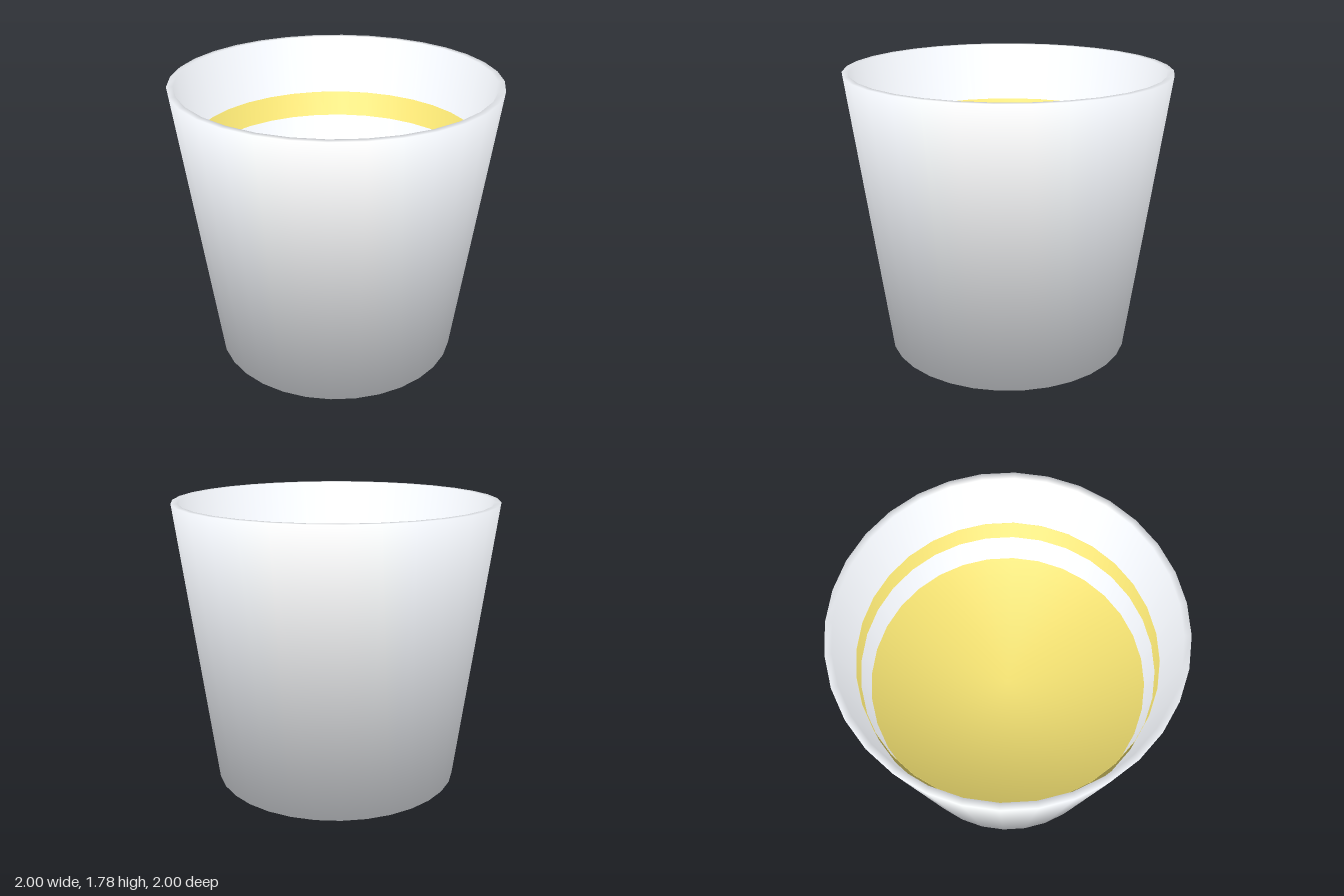
import * as THREE from 'three';

const SIDES = 32;

// Revolves [radius, height] pairs; normals at each corner are the even average of both slopes
function lathe(name, pairs, color) {
  const points = pairs.map(([r, y]) => new THREE.Vector2(r, y));
  const geometry = new THREE.LatheGeometry(points, SIDES);
  const slopes = points.slice(1).map((p, i) => {
    const d = p.clone().sub(points[i]).normalize();
    return new THREE.Vector2(d.y, -d.x);
  });
  const normals = points.map((p, i) => {
    const before = slopes[Math.max(i - 1, 0)];
    const after = slopes[Math.min(i, slopes.length - 1)];
    return before.clone().add(after).normalize();
  });
  for (let s = 0; s <= SIDES; s++) {
    const a = (s / SIDES) * Math.PI * 2;
    normals.forEach((n, i) => geometry.attributes.normal.setXYZ(
      s * points.length + i, n.x * Math.sin(a), n.y, n.x * Math.cos(a)));
  }
  const mesh = new THREE.Mesh(geometry, new THREE.MeshStandardMaterial({ color, side: THREE.DoubleSide }));
  mesh.name = name;
  return mesh;
}

export function createModel() {
  const group = new THREE.Group();
  group.name = 'cup';

  // Tapered shell: base, outer wall, rim, inner wall, inner floor
  group.add(lathe('cupShell', [
    [0, 0], [0.775, 0], [1, 1.78], [0.96, 1.78], [0.74, 0.04], [0, 0.04],
  ], 0xf0f3f8));

  // Coloured filling: hairline lip, straight collar and flat surface
  group.add(lathe('filling', [
    [0.892, 1.4], [0.89, 1.4], [0.89, 1], [0, 1],
  ], 0xf4e272));

  return group;
}
